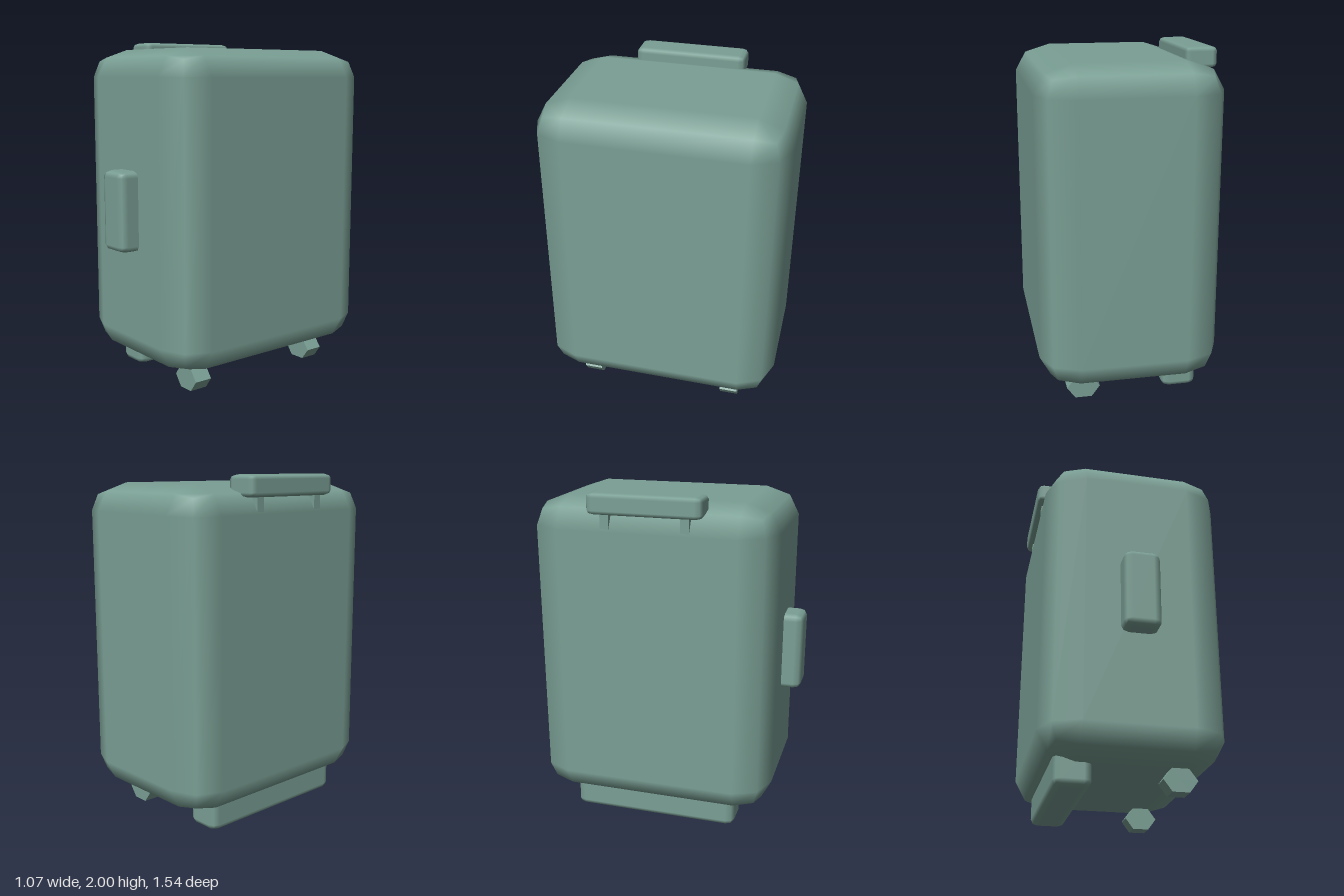
import * as THREE from 'three';
import { RoundedBoxGeometry } from 'three/addons/geometries/RoundedBoxGeometry.js';

const shell = new THREE.MeshStandardMaterial({ color: 0x7a9f94 });
const faceted = new THREE.MeshStandardMaterial({ color: 0x7a9f94, flatShading: true });

// Box between two corners, its edges rounded in two steps with a radius per axis
function roundedBlock(name, min, max, radii) {
  const size = max.map((v, i) => v - min[i]);
  const centre = max.map((v, i) => (v + min[i]) / 2);
  const geometry = new RoundedBoxGeometry(...size.map((v, i) => v / radii[i]), 1, 1);
  geometry.scale(...radii);
  const mesh = new THREE.Mesh(geometry, shell);
  mesh.name = name;
  mesh.position.set(...centre);
  return mesh;
}

export function createModel() {
  const suitcase = new THREE.Group();
  suitcase.name = 'suitcase';

  // Main shell
  suitcase.add(roundedBlock('body', [-0.51, 0.13, -0.77], [0.53, 1.95, 0.655], [0.215, 0.16, 0.2]));

  // Carry handle on the front
  suitcase.add(roundedBlock('frontHandle', [-0.095, 0.81, 0.56], [0.115, 1.27, 0.768], [0.045, 0.035, 0.045]));

  // Long foot along the bottom
  suitcase.add(roundedBlock('footBar', [-0.41, 0.005, -0.555], [-0.2, 0.21, 0.45], [0.045, 0.035, 0.05]));

  // Pull handle on two short posts
  suitcase.add(roundedBlock('pullHandle', [-0.535, 1.88, -0.385], [-0.348, 2, 0.27], [0.035, 0.025, 0.04]));
  for (const z of [-0.285, 0.17]) {
    const post = new THREE.Mesh(new THREE.BoxGeometry(0.12, 0.2, 0.05), faceted);
    post.name = 'handlePost';
    post.position.set(-0.443, 1.8, z);
    suitcase.add(post);
  }

  // Six-sided wheels, slightly flattened
  const wheelGeometry = new THREE.CylinderGeometry(0.097, 0.097, 0.11, 6, 1, false, Math.PI / 2);
  wheelGeometry.rotateX(Math.PI / 2);
  wheelGeometry.scale(1, 0.065 / (0.097 * Math.sin(Math.PI / 3)), 1);
  for (const z of [0.395, -0.5]) {
    const wheel = new THREE.Mesh(wheelGeometry, faceted);
    wheel.name = 'wheel';
    wheel.position.set(0.275, 0.065, z);
    suitcase.add(wheel);
  }

  return suitcase;
}
